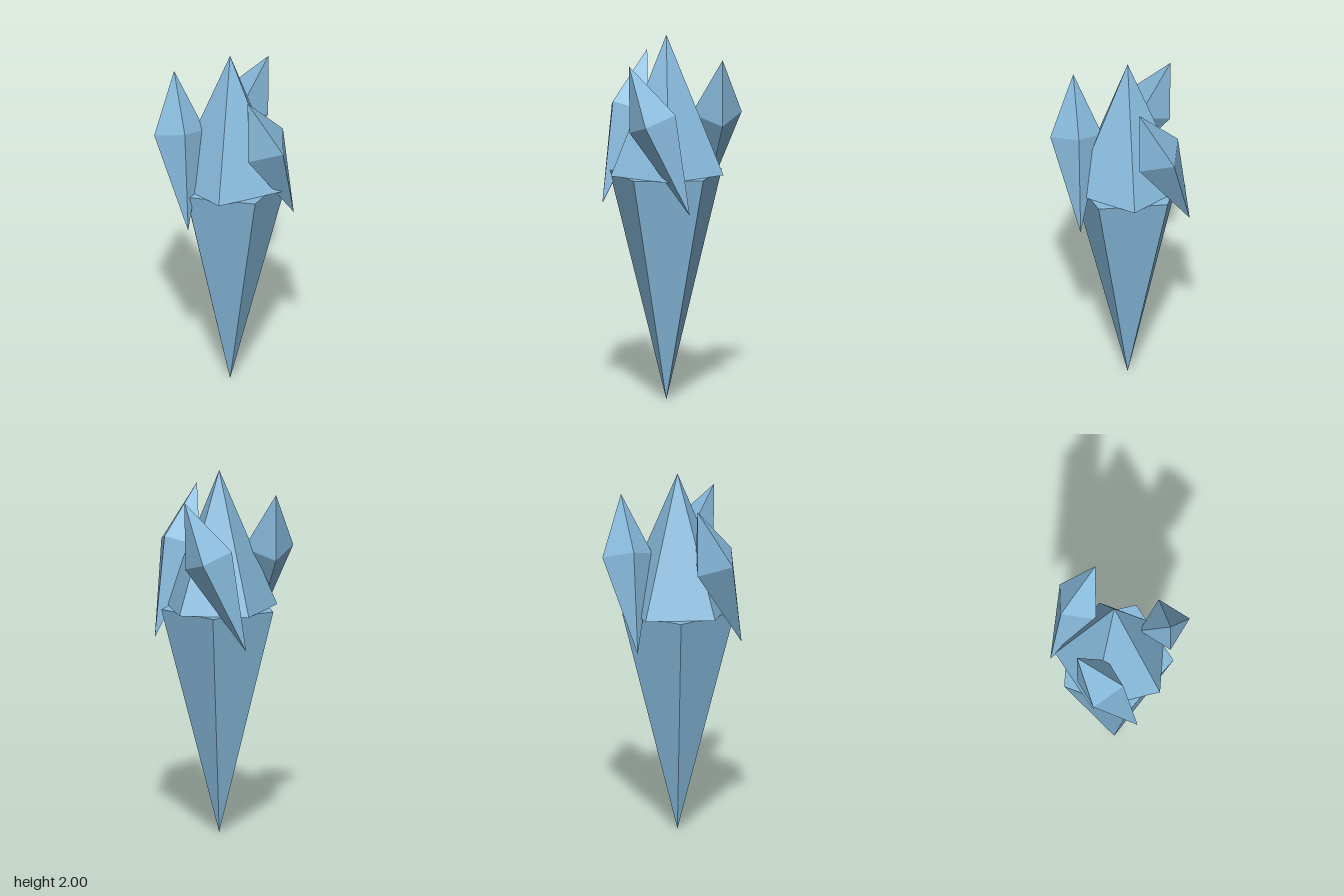
import * as THREE from 'three';

const ice = new THREE.MeshStandardMaterial({ color: 0x88bbdd, flatShading: true });
ice.name = 'iceBlue';

// Pyramid standing on y = 0; a negative height makes it hang point-down
function pyramid(name, radius, height, sides) {
  const geo = new THREE.ConeGeometry(radius, Math.abs(height), sides);
  if (height < 0) geo.rotateZ(Math.PI);
  geo.translate(0, height / 2, 0);
  const mesh = new THREE.Mesh(geo, ice);
  mesh.name = name;
  return mesh;
}

export function createModel() {
  const model = new THREE.Group();
  model.name = 'iceCrystal';
  model.position.x = -0.05;
  const root = new THREE.Group();
  root.name = 'crystalCluster';
  root.add(model);

  // Core: two five-sided points, the upper one turned half way round
  const core = new THREE.Group();
  core.name = 'core';
  core.position.y = 1.245;
  const tip = pyramid('coreTip', 0.32, 0.755, 5);
  tip.rotation.y = Math.PI;
  core.add(tip, pyramid('coreSpike', 0.32, -1.245, 5));
  model.add(core);

  // Three tilted four-sided shards around the core
  for (let i = 0; i < 3; i++) {
    const arm = new THREE.Group();
    arm.name = 'shardArm' + (i + 1);
    arm.rotation.y = (i * Math.PI * 2) / 3;
    const shard = new THREE.Group();
    shard.name = 'shard' + (i + 1);
    shard.position.set(0.28, 1.56, 0);
    shard.rotation.x = 0.4;
    shard.add(pyramid('shardTip', 0.14, 0.336, 4), pyramid('shardTail', 0.14, -0.536, 4));
    arm.add(shard);
    model.add(arm);
  }
  return root;
}
